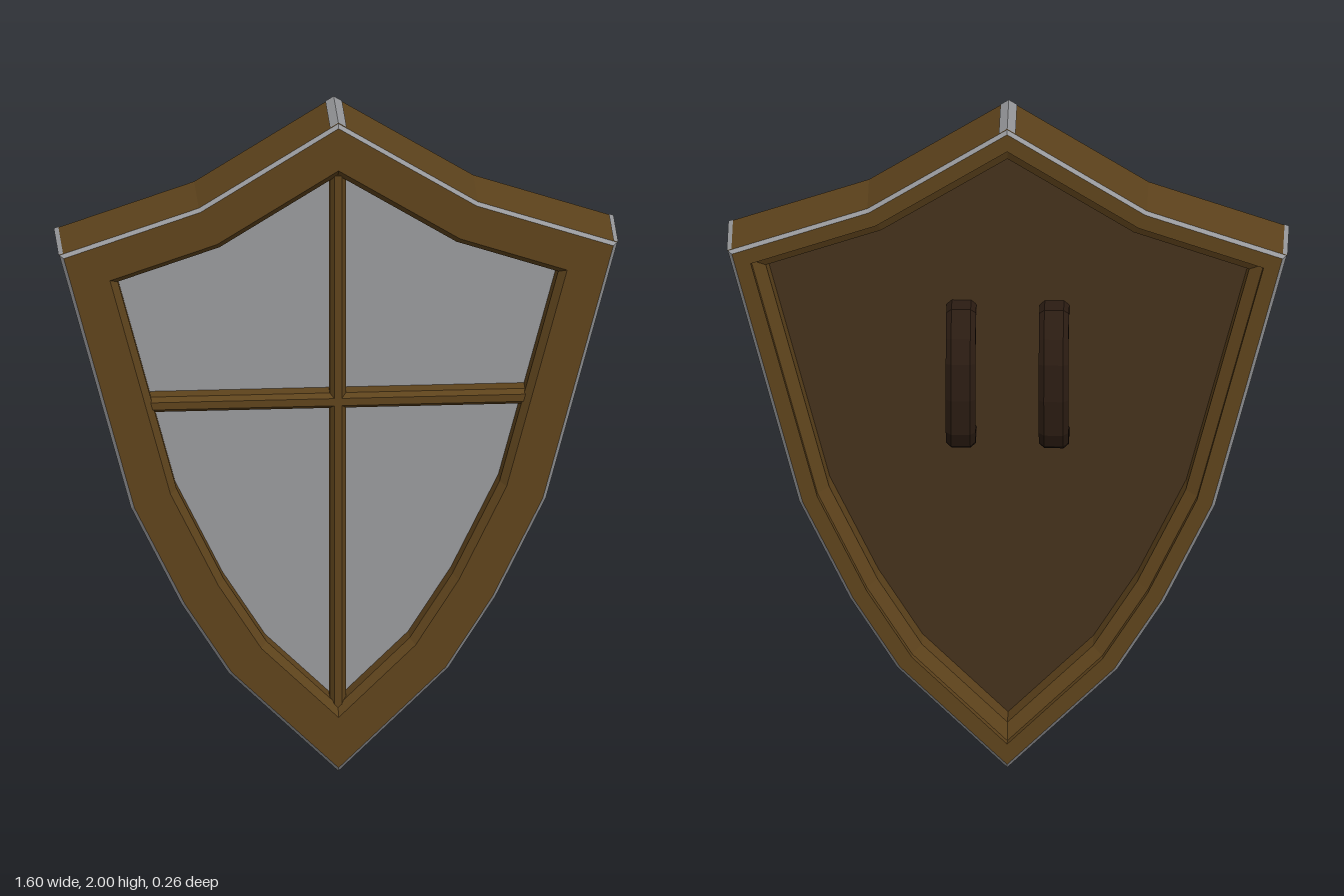
import * as THREE from 'three';

const mat = (color) => new THREE.MeshStandardMaterial({ color, flatShading: true });

// Right half of the outline, tip to point, mirrored into a counter-clockwise loop
const half = [[0.4, 1.75], [0.8, 1.615], [0.595, 0.835], [0.45, 0.535], [0.315, 0.32]];
const outline = [
  [0, 2], ...half.map(([x, y]) => [-x, y]), [0, 0.01], ...half.slice().reverse(),
].map(([x, y]) => new THREE.Vector2(x, y));

// Mitred inward offset of the outline
function inset(d) {
  const n = outline.length;
  return outline.map((p, i) => {
    const a = p.clone().sub(outline[(i + n - 1) % n]).normalize();
    const b = outline[(i + 1) % n].clone().sub(p).normalize();
    const na = new THREE.Vector2(-a.y, a.x), nb = new THREE.Vector2(-b.y, b.x);
    return p.clone().addScaledVector(na.clone().add(nb), d / (1 + na.dot(nb)));
  });
}

function quadGeometry(quads) {
  const v = [];
  for (const [a, b, c, d] of quads) for (const p of [a, b, c, a, c, d]) v.push(...p);
  const g = new THREE.BufferGeometry();
  g.setAttribute('position', new THREE.Float32BufferAttribute(v, 3));
  g.computeVertexNormals();
  return g;
}

// Sweep a profile of [inset, z] pairs around the outline
function sweep(profile) {
  const rows = profile.map(([d, z]) => inset(d).map((p) => [p.x, p.y, z]));
  const quads = [];
  for (let r = 0; r + 1 < rows.length; r++) {
    rows[r].forEach((p, i) => {
      const j = (i + 1) % rows[r].length;
      quads.push([p, rows[r][j], rows[r + 1][j], rows[r + 1][i]]);
    });
  }
  return quadGeometry(quads);
}

// Metal strip folded over one sharp corner of the outline
function cornerStrip(i, width) {
  const o = inset(-0.002), n = o.length, p = o[i];
  const toward = (q) => p.clone().add(q.clone().sub(p).setLength(width));
  const pts = [toward(o[(i + n - 1) % n]), p, toward(o[(i + 1) % n])];
  const at = (q, z) => [q.x, q.y, z];
  return quadGeometry([0, 1].map((k) => [
    at(pts[k], -0.09), at(pts[k + 1], -0.09), at(pts[k + 1], 0.12), at(pts[k], 0.12),
  ]));
}

// Upright bar with a chamfered front, centred on its length
function barGeometry(length) {
  const s = new THREE.Shape([
    [-0.023, -0.04], [0.023, -0.04], [0.023, -0.095], [0.011, -0.11], [-0.011, -0.11], [-0.023, -0.095],
  ].map(([x, y]) => new THREE.Vector2(x, y)));
  const g = new THREE.ExtrudeGeometry(s, { depth: length, bevelEnabled: false });
  return g.translate(0, 0, -length / 2).rotateX(-Math.PI / 2);
}

export function createModel() {
  const group = new THREE.Group();
  const wood = mat(0x5e431c), metal = mat(0x97989b), board = mat(0x45311c), grip = mat(0x2b1c12);
  const add = (name, geometry, material) => {
    const m = new THREE.Mesh(geometry, material);
    m.name = name;
    group.add(m);
    return m;
  };

  // Wooden frame: back moulding, outer wall, front moulding
  add('frameBack', sweep([[0.09, 0.02], [0.09, -0.055], [0.055, -0.075], [0.055, -0.1], [0.01, -0.1]]), wood);
  add('frameWall', sweep([[0, -0.09], [0, 0.12]]), wood);
  add('frameFront', sweep([[0.01, 0.13], [0.12, 0.13], [0.14, 0.105], [0.14, 0.05]]), wood);

  // Metal edging on the outer edges and sharp corners
  add('backEdging', sweep([[0.01, -0.1], [0, -0.09]]), metal);
  add('frontEdging', sweep([[0, 0.12], [0.01, 0.13]]), metal);
  [[0, 0.028], [2, 0.014], [6, 0.02], [10, 0.014]].forEach(([i, w]) => add('cornerEdging', cornerStrip(i, w), metal));

  // Metal face and wooden backing board
  const face = (d) => new THREE.ShapeGeometry(new THREE.Shape(inset(d)));
  add('frontPanel', face(0.135).translate(0, 0, 0.05), metal);
  add('backBoard', face(0.085).rotateY(Math.PI).translate(0, 0, 0.02), board);

  // Crossing bars
  add('verticalBar', barGeometry(1.67), wood).position.y = 1.0;
  const cross = add('horizontalBar', barGeometry(1.13), wood);
  cross.rotation.z = Math.PI / 2;
  cross.position.y = 1.14;

  // Arched grips, drawn from the side and extruded across
  const arch = new THREE.Shape([
    [-0.03, 1.42], [0.05, 1.42], [0.1, 1.35], [0.125, 1.28], [0.134, 1.17], [0.122, 1.06], [0.1, 1.015],
    [0.05, 0.99], [-0.03, 0.99], [-0.03, 1.04], [0.05, 1.04], [0.075, 1.08], [0.085, 1.17],
    [0.075, 1.26], [0.05, 1.33], [0.03, 1.37], [-0.03, 1.37],
  ].reverse().map(([x, y]) => new THREE.Vector2(x, y)));
  const gripGeometry = new THREE.ExtrudeGeometry(arch, {
    depth: 0.055, bevelThickness: 0.015, bevelSize: 0.013, bevelOffset: -0.013, bevelSegments: 1,
  }).translate(0, 0, -0.0275).rotateY(Math.PI / 2);
  for (const side of [-1, 1]) {
    add(side > 0 ? 'leftGrip' : 'rightGrip', gripGeometry, grip).position.x = side * 0.133;
  }
  return group;
}
